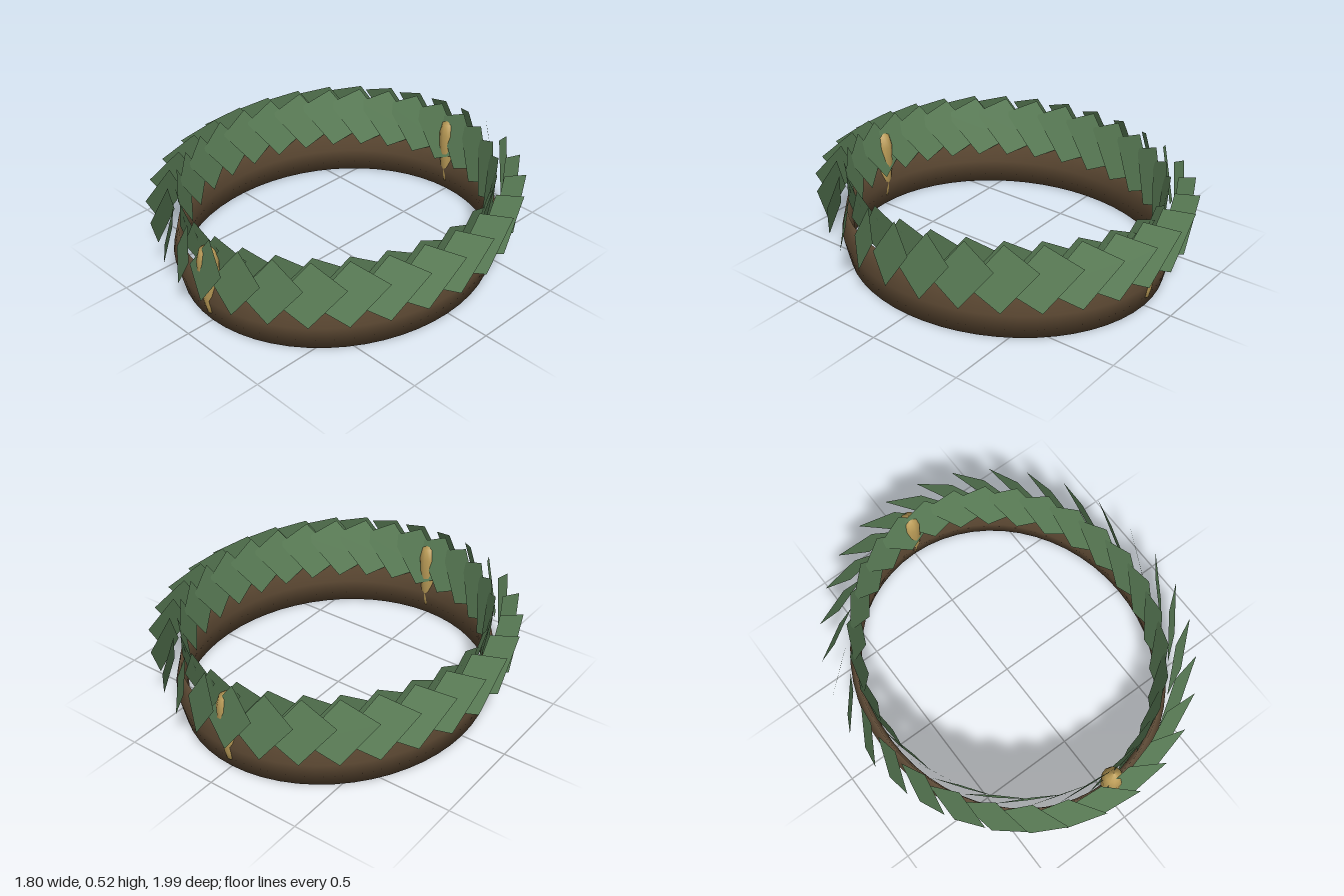
import * as THREE from 'three';

const LEAVES = 30;

// One flat leaf from its width and length vectors: along the band (x), up (y), outward (z)
function leafGeometry(across, along) {
  const facing = new THREE.Vector3().crossVectors(across, along).normalize();
  return new THREE.PlaneGeometry(1, 1)
    .applyMatrix4(new THREE.Matrix4().makeBasis(across, along, facing));
}

// Overlapping leaves all the way round an ellipse
function leafRow(name, geometry, material, rx, rz) {
  const row = new THREE.Group();
  row.name = name;
  const up = new THREE.Vector3(0, 1, 0);
  for (let i = 0; i < LEAVES; i++) {
    const a = THREE.MathUtils.degToRad(2) + (i / LEAVES) * Math.PI * 2;
    const c = Math.cos(a), s = Math.sin(a);
    const out = new THREE.Vector3(rz * c, 0, rx * s).normalize();
    const side = new THREE.Vector3().crossVectors(up, out);
    const leaf = new THREE.Mesh(geometry, material);
    leaf.name = 'leaf';
    leaf.quaternion.setFromRotationMatrix(new THREE.Matrix4().makeBasis(side, up, out));
    leaf.position.set(rx * c, 0.36, rz * s);
    row.add(leaf);
  }
  return row;
}

export function createModel() {
  const group = new THREE.Group();
  const bark = new THREE.MeshStandardMaterial({ color: 0x5e4a34 });
  bark.name = 'bark brown';
  const green = new THREE.MeshStandardMaterial({ color: 0x5e825a, side: THREE.DoubleSide, flatShading: true });
  green.name = 'leaf green';
  const gold = new THREE.MeshStandardMaterial({ color: 0xbc9d58 });
  gold.name = 'gold';

  // Oval band: a ring with a thin, tall diamond section
  const bandGeo = new THREE.TorusGeometry(0.85, 0.033, 4, 56);
  bandGeo.rotateX(Math.PI / 2);
  bandGeo.scale(0.76 / 0.85, 0.14 / 0.033, 1);
  const band = new THREE.Mesh(bandGeo, bark);
  band.name = 'band';
  band.position.y = 0.14;
  group.add(band);

  // Outer leaves flare outward, inner leaves lean in at their lower ends
  const outerLeaf = leafGeometry(new THREE.Vector3(0.17, -0.08, 0.095), new THREE.Vector3(0.18, 0.24, 0.025));
  const innerLeaf = leafGeometry(new THREE.Vector3(0.17, -0.08, -0.03), new THREE.Vector3(0.18, 0.24, 0.03));
  group.add(leafRow('outerLeaves', outerLeaf, green, 0.83, 0.92));
  group.add(leafRow('innerLeaves', innerLeaf, green, 0.73, 0.82));

  // Gold drops at front and back, tapering to a blunt lower end
  const profile = [[0, 0.05], [0.018, 0.056], [0.029, 0.1], [0.042, 0.17], [0.052, 0.26], [0.055, 0.36], [0.04, 0.42], [0, 0.45]]
    .map(([r, y]) => new THREE.Vector2(r, y));
  const dropGeo = new THREE.LatheGeometry(profile, 12);
  for (const [name, z] of [['frontClasp', 0.853], ['backClasp', -0.853]]) {
    const clasp = new THREE.Mesh(dropGeo, gold);
    clasp.name = name;
    clasp.position.z = z;
    group.add(clasp);
  }
  return group;
}
